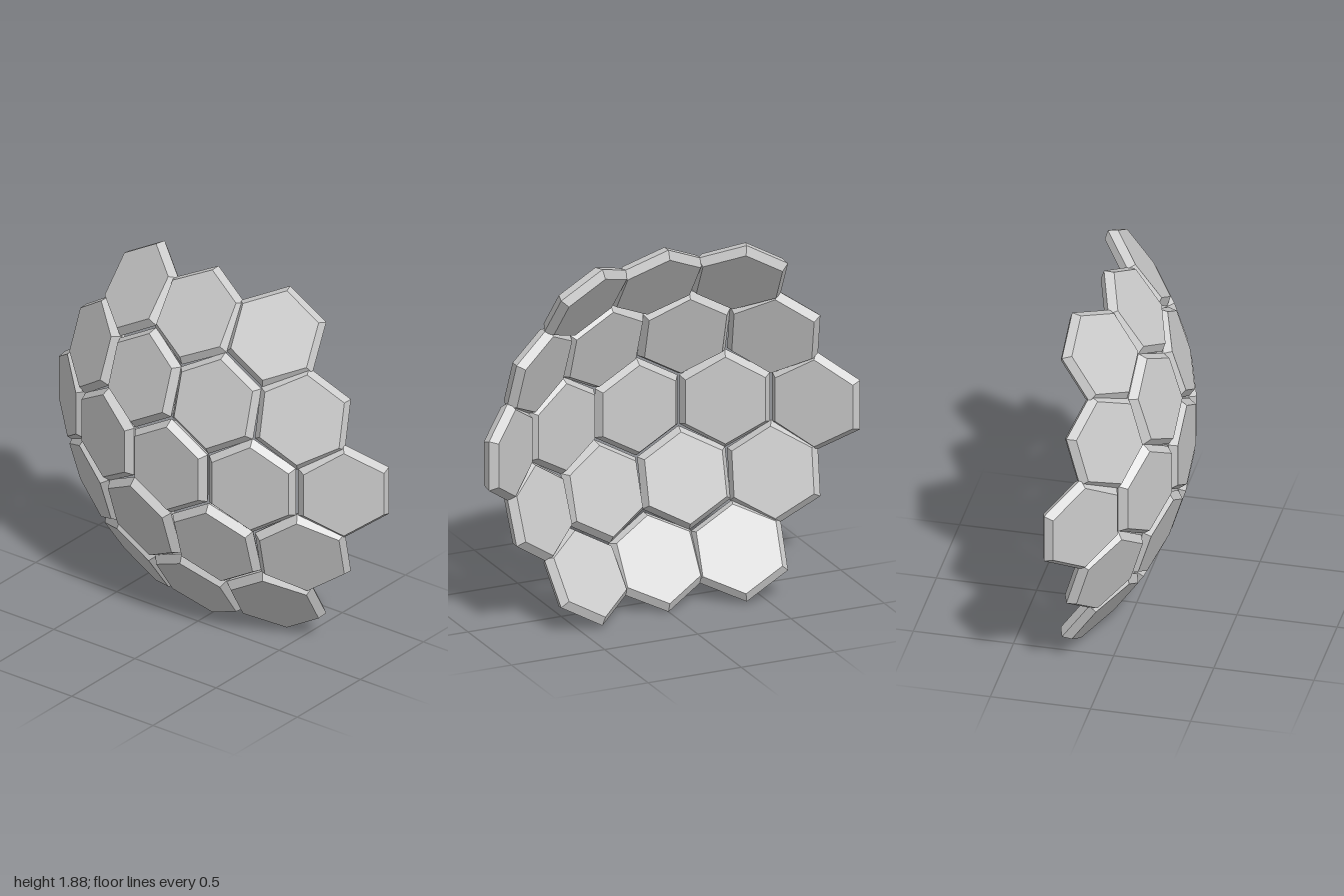
import * as THREE from 'three';

const RADIUS = 1.325;                      // sphere carrying the front faces
const STEP = THREE.MathUtils.degToRad(20); // angle between neighbouring tiles
const RINGS = 2;

// Six-sided plate, widest at mid thickness, bevelled to front and back
function tileGeometry() {
  const profile = [[0, -0.08], [0.226, -0.08], [0.256, -0.04], [0.226, 0], [0, 0]]
    .map(([r, y]) => new THREE.Vector2(r, y));
  return new THREE.LatheGeometry(profile, 6).rotateX(Math.PI / 2);
}

export function createModel() {
  const model = new THREE.Group();
  model.name = 'hexagonTileDome';
  const material = new THREE.MeshStandardMaterial({ color: 0xcccccc, flatShading: true });
  const geometry = tileGeometry();
  const front = new THREE.Vector3(0, 0, 1);
  const centre = new THREE.Vector3(0, 0.9375, 0.25 - RADIUS);

  // Hexagonal lattice wrapped onto the sphere, keeping distances from the middle
  for (let row = -RINGS; row <= RINGS; row++) {
    const count = 2 * RINGS + 1 - Math.abs(row);
    for (let i = 0; i < count; i++) {
      const u = i - (count - 1) / 2;
      const v = row * Math.sqrt(3) / 2;
      const tilt = Math.hypot(u, v) * STEP;
      const turn = Math.atan2(v, u);
      const normal = new THREE.Vector3(
        Math.sin(tilt) * Math.cos(turn), Math.sin(tilt) * Math.sin(turn), Math.cos(tilt));

      const tile = new THREE.Mesh(geometry, material);
      tile.name = `hexTileRow${row + RINGS + 1}Number${i + 1}`;
      tile.position.copy(centre).addScaledVector(normal, RADIUS);
      tile.quaternion.setFromUnitVectors(front, normal);
      model.add(tile);
    }
  }
  return model;
}
